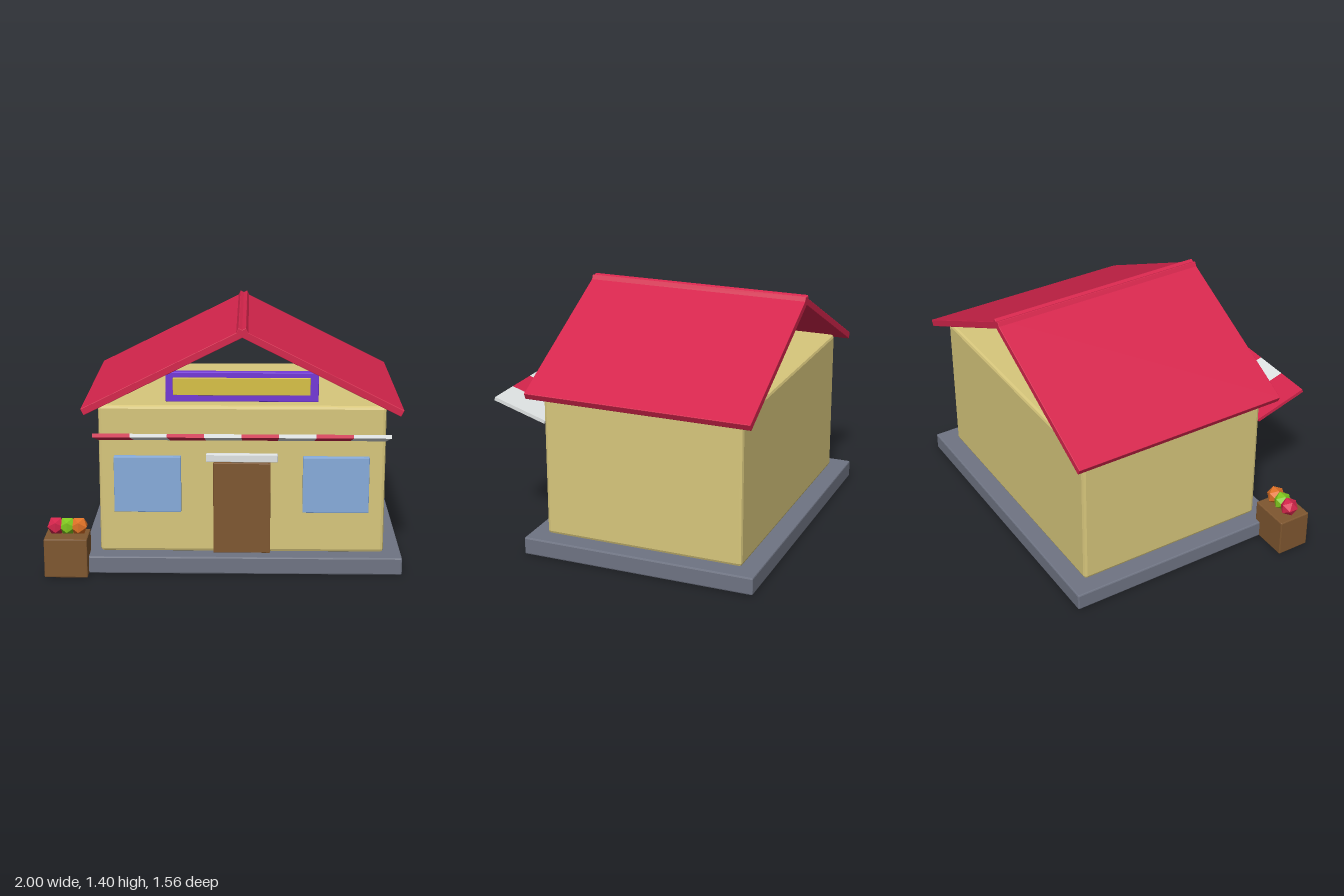
import * as THREE from 'three';
import { RoundedBoxGeometry } from 'three/addons/geometries/RoundedBoxGeometry.js';

const colours = {
  red: 0xd5254c, white: 0xe0e4e4, tan: 0xd8c77c, brown: 0x7f5730, blue: 0x87acdb,
  grey: 0x6f7483, purple: 0x7338d8, gold: 0xd8c145, green: 0x80c81e, orange: 0xe07226,
};

export function createModel() {
  const model = new THREE.Group();
  model.name = 'shop';

  const mats = {};
  for (const [name, color] of Object.entries(colours)) {
    mats[name] = new THREE.MeshStandardMaterial({ color });
    mats[name].name = name;
  }

  const add = (name, geometry, colour, parent = model) => {
    const mesh = new THREE.Mesh(geometry, mats[colour]);
    mesh.name = name;
    parent.add(mesh);
    return mesh;
  };

  // Box with flat chamfered edges
  const chamferBox = (w, h, d, r) => {
    const g = new RoundedBoxGeometry(w, h, d, 1, r);
    g.computeVertexNormals();
    return g;
  };

  // Chamfered box given by its lower and upper limits
  const block = (name, colour, [x0, x1], [y0, y1], [z0, z1], r = 0.004, parent = model) => {
    const mesh = add(name, chamferBox(x1 - x0, y1 - y0, z1 - z0, r), colour, parent);
    mesh.position.set((x0 + x1) / 2, (y0 + y1) / 2, (z0 + z1) / 2);
    return mesh;
  };

  // Foundation and walls
  block('foundation', 'grey', [-0.8, 1], [0, 0.1], [-0.78, 0.57], 0.008);
  block('walls', 'tan', [-0.7, 0.9], [0.1, 0.95], [-0.68, 0.475], 0.018);

  // Two roof slabs crossing at the ridge, with open gables
  const centreX = 0.1;
  for (const side of [-1, 1]) {
    const slab = add(side < 0 ? 'roofRight' : 'roofLeft', chamferBox(1.017, 0.04, 1.295, 0.003), 'red');
    slab.position.set(centreX + side * 0.426, 1.155, -0.103);
    slab.rotation.z = -side * Math.atan(0.5);
  }

  // Door, lintel and windows
  block('door', 'brown', [-0.06, 0.26], [0.105, 0.63], [0.465, 0.508]);
  block('lintel', 'white', [-0.1, 0.3], [0.635, 0.68], [0.465, 0.506]);
  block('windowRight', 'blue', [-0.615, -0.24], [0.343, 0.665], [0.465, 0.506]);
  block('windowLeft', 'blue', [0.44, 0.81], [0.343, 0.665], [0.465, 0.506]);

  // Sign board with raised panel
  block('signFrame', 'purple', [-0.32, 0.52], [0.985, 1.15], [0.475, 0.52]);
  block('signPanel', 'gold', [-0.28, 0.475], [1.022, 1.12], [0.5, 0.527], 0.003);

  // Striped awning rising away from the wall
  const awning = new THREE.Group();
  awning.name = 'awning';
  awning.position.set(centreX, 0.81, 0.624);
  awning.rotation.x = -0.305;
  model.add(awning);
  for (let i = 0; i < 8; i++) {
    const stripe = add('awningStripe', new THREE.BoxGeometry(0.2, 0.02, 0.32), i % 2 ? 'white' : 'red', awning);
    stripe.position.x = -0.7 + i * 0.2;
  }

  // Crate with a row of faceted fruit
  block('crate', 'brown', [-1, -0.758], [0, 0.225], [0.45, 0.645], 0.006);
  ['red', 'green', 'orange'].forEach((colour, i) => {
    const fruit = add('fruit', new THREE.IcosahedronGeometry(0.054, 0), colour);
    fruit.position.set(-0.94 + i * 0.064, 0.273, 0.545);
  });

  return model;
}
